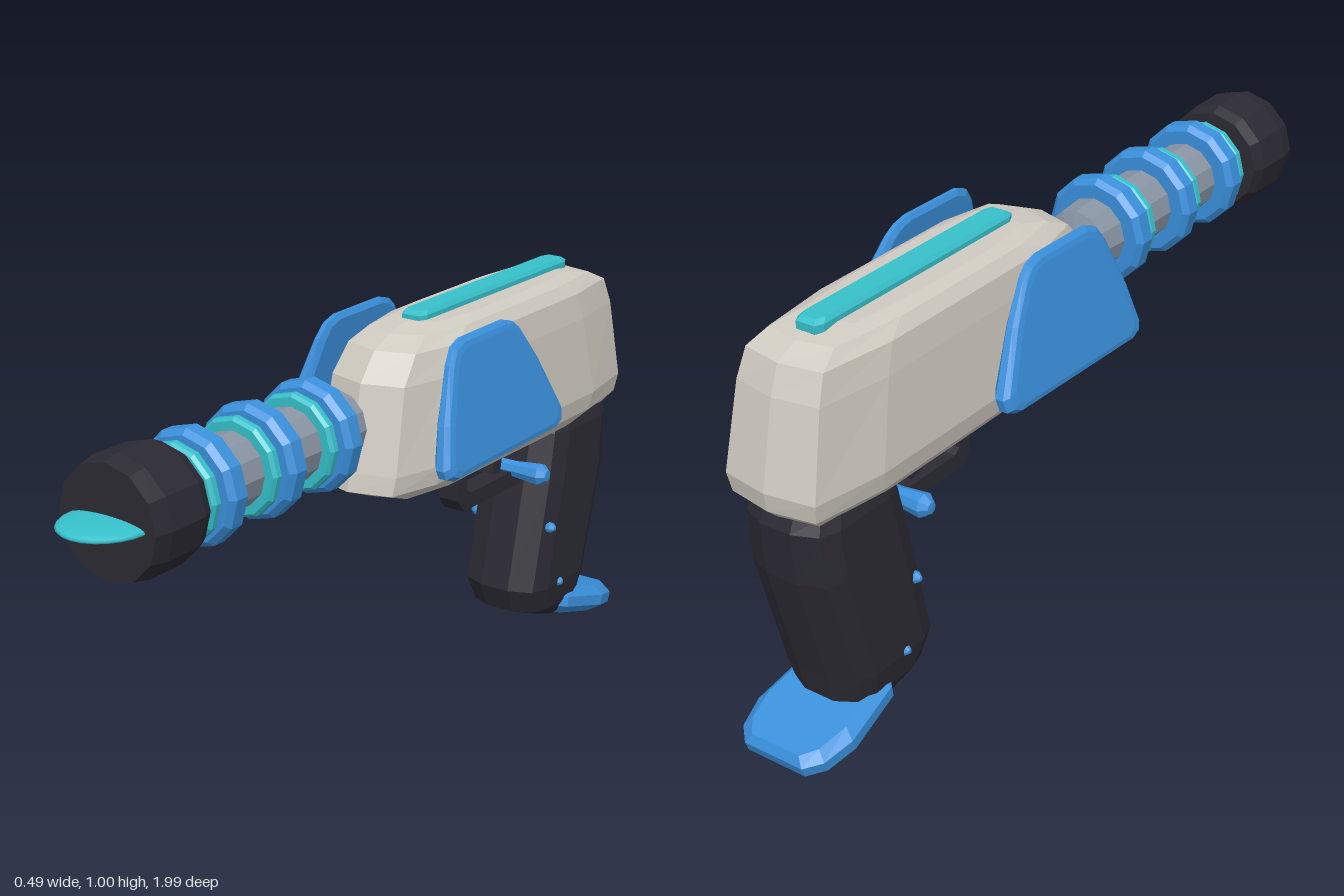
import * as THREE from 'three';

const paint = (name, color) => {
  const m = new THREE.MeshStandardMaterial({ color });
  m.name = name;
  return m;
};

// Faceted normals
function flat(geo) {
  const g = geo.index ? geo.toNonIndexed() : geo;
  g.computeVertexNormals();
  return g;
}

// Closed skin over rings of [x, y, z] points, with both ends capped
function loft(rings) {
  const n = rings[0].length, last = (rings.length - 1) * n, idx = [];
  for (let i = 0; i < rings.length - 1; i++) {
    for (let j = 0; j < n; j++) {
      const a = i * n + j, b = i * n + (j + 1) % n;
      idx.push(a, b, b + n, a, b + n, a + n);
    }
  }
  for (let j = 1; j < n - 1; j++) idx.push(0, j + 1, j, last, last + j, last + j + 1);
  const g = new THREE.BufferGeometry();
  g.setAttribute('position', new THREE.Float32BufferAttribute(rings.flat(2), 3));
  g.setIndex(idx);
  return flat(g);
}

// Mirrors a half plan of [x, z] points, listed front to back, into a level ring
function planRing(y, half) {
  const other = half.filter(p => p[0] > 0).reverse().map(([x, z]) => [-x, z]);
  return [...half, ...other].map(([x, z]) => [x, y, z]);
}

// Turned part along z from [radius, z] points
function turned(profile, sides = 12) {
  const g = new THREE.LatheGeometry(profile.map(p => new THREE.Vector2(...p)), sides);
  return flat(g.rotateX(Math.PI / 2));
}

export function createModel() {
  const model = new THREE.Group();
  model.name = 'toyBlaster';
  const cream = paint('cream', 0xd0cbc1), blue = paint('blue', 0x3a90dc);
  const black = paint('black', 0x2b2a33), teal = paint('teal', 0x37c0ca);
  const grey = paint('grey', 0x8a95a4);

  function add(name, geo, mat, x = 0, y = 0, z = 0) {
    const m = new THREE.Mesh(geo, mat);
    m.name = name;
    m.position.set(x, y, z);
    model.add(m);
    return m;
  }

  // Body: level rings given as height, front z, back z, half width
  const body = [
    [0.597, -0.01, -0.92, 0.105], [0.635, 0.085, -0.962, 0.138], [0.68, 0.078, -0.97, 0.147],
    [0.88, 0.033, -0.93, 0.134], [0.945, -0.02, -0.905, 0.125], [0.972, -0.08, -0.85, 0.105],
    [0.985, -0.15, -0.77, 0.08],
  ].map(([y, f, b, w]) => planRing(y, [
    [0, f], [0.75 * w, f - 0.03], [w, f - 0.16], [w, b + 0.2], [0.8 * w, b + 0.02], [0, b],
  ]));
  add('body', loft(body), cream);

  // Grip, leaning back towards the top
  const grip = [
    [0.07, -0.69, -0.81, 0.085], [0.115, -0.58, -0.845, 0.105], [0.18, -0.555, -0.858, 0.117],
    [0.46, -0.62, -0.935, 0.118], [0.585, -0.648, -0.945, 0.114], [0.62, -0.66, -0.93, 0.105],
  ].map(([y, f, b, w]) => planRing(y, [
    [0.04, f], [0.85 * w, f - 0.025], [w, f - 0.07], [w, b + 0.07], [0.85 * w, b + 0.025], [0.04, b],
  ]));
  add('grip', loft(grip), black);

  // Tilted foot pad under the grip
  const pad = [[-0.035, 0.1, 0.13], [-0.012, 0.131, 0.147], [0.015, 0.131, 0.15], [0.035, 0.108, 0.135]]
    .map(([y, w, l]) => planRing(y, [
      [0.65 * w, l], [0.88 * w, l - 0.03], [w, -l + 0.11], [0.86 * w, -l + 0.035], [0.6 * w, -l],
    ]));
  add('footPad', loft(pad), blue, 0, 0.073, -0.85).rotation.x = -0.27;

  // Trigger guard and trigger
  const guard = new THREE.Shape([
    [0.33, 0.61], [0.335, 0.49], [0.36, 0.457], [0.62, 0.455], [0.65, 0.47],
    [0.65, 0.497], [0.39, 0.497], [0.373, 0.51], [0.37, 0.61],
  ].map(p => new THREE.Vector2(...p)));
  const guardGeo = new THREE.ExtrudeGeometry(guard, { depth: 0.058, bevelEnabled: false });
  guardGeo.rotateY(Math.PI / 2).translate(-0.029, 0, 0);
  add('triggerGuard', flat(guardGeo), black);
  add('trigger', new THREE.BoxGeometry(0.044, 0.11, 0.036), black, 0, 0.562, -0.527).rotation.x = -0.2;

  // Cross bar button and grip pins
  const bar = turned([[0, -0.125], [0.014, -0.124], [0.029, -0.105], [0.022, -0.035],
    [0.022, 0.035], [0.029, 0.105], [0.014, 0.124], [0, 0.125]], 8);
  add('crossButton', bar.rotateY(Math.PI / 2), blue, 0, 0.5, -0.595);
  const pin = turned([[0, -0.126], [0.006, -0.125], [0.014, -0.114], [0.014, 0.114],
    [0.006, 0.125], [0, 0.126]], 8).rotateY(Math.PI / 2);
  for (const [y, z] of [[0.345, -0.64], [0.183, -0.685]]) add('gripPin', pin, blue, 0, y, z);

  // Side fins: outline in [z, y], thicker and further out at the bottom
  const outline = [
    [0.035, 0.715], [0.028, 0.695], [0, 0.685], [-0.44, 0.693], [-0.468, 0.705], [-0.475, 0.735],
    [-0.405, 0.87], [-0.345, 0.955], [-0.32, 0.975], [-0.285, 0.985], [-0.105, 0.983],
    [-0.07, 0.97], [-0.045, 0.935], [0.008, 0.81],
  ];
  for (const side of [1, -1]) {
    const rings = [[0, 0.92], [0.3, 1], [0.7, 1], [0.93, 0.95], [1, 0.87]].map(([k, s]) => {
      const ring = outline.map(([z0, y0]) => {
        const z = -0.22 + (z0 + 0.22) * s, y = 0.835 + (y0 - 0.835) * s;
        const t = (y - 0.685) / 0.3;
        return [side * (0.198 - 0.038 * t + k * (0.052 - 0.026 * t)), y, z];
      });
      return side > 0 ? ring : ring.reverse();
    });
    add(side > 0 ? 'leftFin' : 'rightFin', loft(rings), blue);
  }

  // Top rail
  const rail = [[0.968, 0.028, 0.315], [0.978, 0.033, 0.328], [0.996, 0.033, 0.328], [1.005, 0.026, 0.315]]
    .map(([y, w, l]) => planRing(y, [[0.7 * w, l], [w, l - 0.02], [w, -l + 0.02], [0.7 * w, -l]]));
  add('topRail', loft(rail), teal, 0, 0, -0.492);

  // Barrel with paired rings
  const axis = 0.81;
  add('barrel', turned([[0, 0.095], [0.08, 0.12], [0.085, 0.2], [0.085, 0.74]]), grey, 0, axis);
  const collar = turned([[0.07, -0.03], [0.118, -0.03], [0.131, -0.017], [0.131, 0.017],
    [0.118, 0.03], [0.07, 0.03]]);
  const glowRing = turned([[0.07, -0.015], [0.106, -0.015], [0.113, -0.007], [0.113, 0.007],
    [0.106, 0.015], [0.07, 0.015]]);
  for (let i = 0; i < 3; i++) {
    add('barrelCollar', collar, blue, 0, axis, 0.223 + i * 0.2);
    add('barrelGlowRing', glowRing, teal, 0, axis, 0.277 + i * 0.2);
  }

  // Muzzle and flat rounded tip
  add('muzzle', turned([[0, 0.717], [0.124, 0.717], [0.136, 0.745], [0.137, 0.845],
    [0.128, 0.888], [0, 0.888]]), black, 0, axis);
  const tip = new THREE.SphereGeometry(1, 24, 12).scale(0.1, 0.017, 0.108);
  add('muzzleTip', tip, teal, 0, axis, 0.888);

  return model;
}
